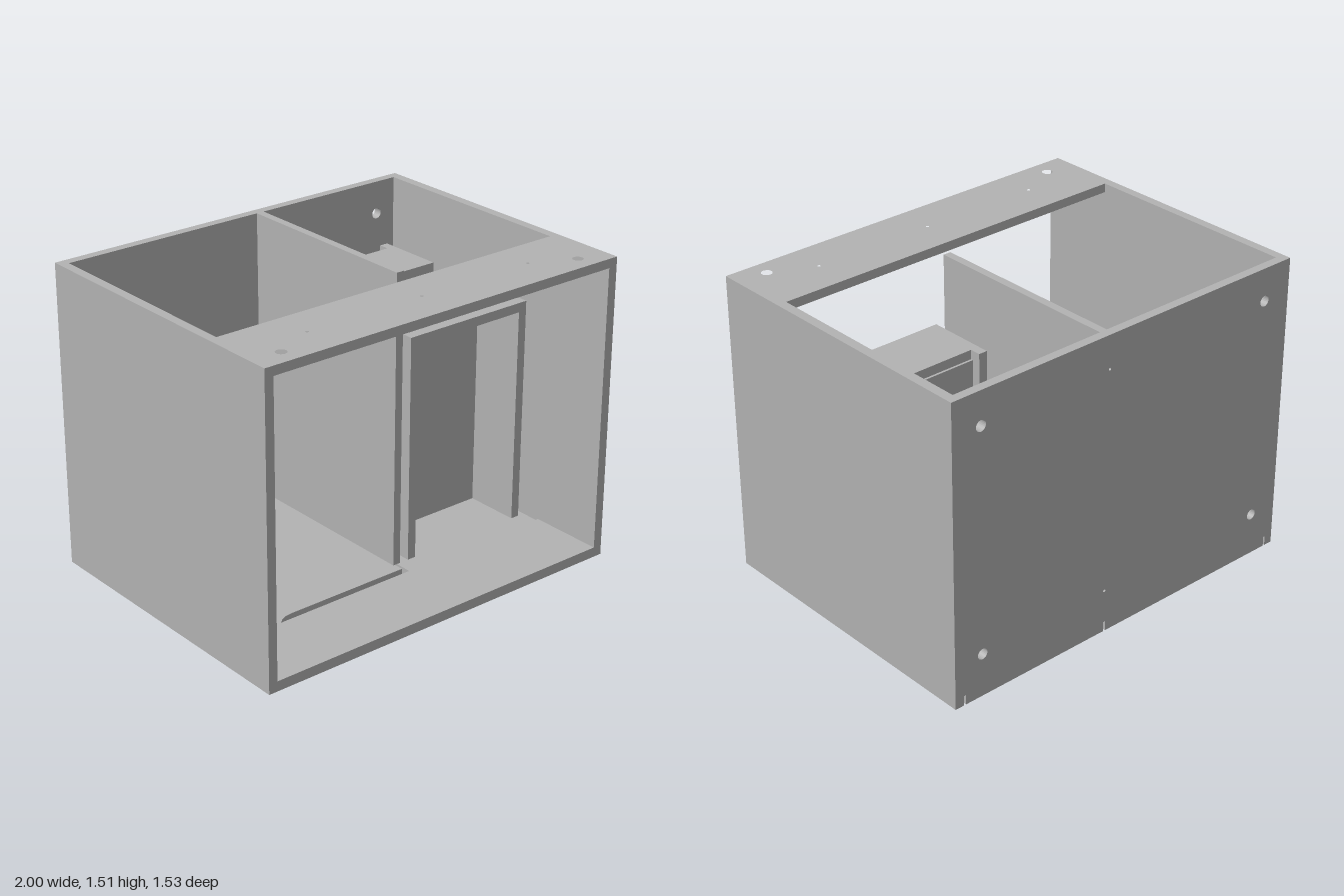
import * as THREE from 'three';

const board = new THREE.MeshStandardMaterial({ color: 0xb2b2b2 });
board.name = 'grey board';

const D = 0.767, H = 1.515, T = 0.045;

// Extruded panel: 2D outline points, round holes [u, v, radius], thickness
function panelGeometry(points, holes, depth) {
  const shape = new THREE.Shape(points.map(([u, v]) => new THREE.Vector2(u, v)));
  for (const [u, v, r] of holes) {
    const hole = new THREE.Path();
    hole.absarc(u, v, r, 0, Math.PI * 2, true);
    shape.holes.push(hole);
  }
  return new THREE.ExtrudeGeometry(shape, { depth, bevelEnabled: false, curveSegments: 12 });
}

const rect = (a, b, c, d) => [[a, b], [c, b], [c, d], [a, d]];

export function createModel() {
  const root = new THREE.Group();
  root.name = 'cabinet';

  const add = (name, geometry, parent = root) => {
    const mesh = new THREE.Mesh(geometry, board);
    mesh.name = name;
    parent.add(mesh);
    return mesh;
  };
  const box = (name, x0, x1, y0, y1, z0, z1, parent) =>
    add(name, new THREE.BoxGeometry(x1 - x0, y1 - y0, z1 - z0)
      .translate((x0 + x1) / 2, (y0 + y1) / 2, (z0 + z1) / 2), parent);
  // Horizontal panel, outline and holes in (x, z)
  const flat = (name, y0, y1, points, holes = [], parent) =>
    add(name, panelGeometry(points.map(([x, z]) => [x, -z]), holes.map(([x, z, r]) => [x, -z, r]), y1 - y0)
      .rotateX(-Math.PI / 2).translate(0, y0, 0), parent);
  // Upright panel facing sideways, outline and holes in (z, y)
  const side = (name, x0, x1, points, holes = [], parent) =>
    add(name, panelGeometry(points.map(([z, y]) => [-z, y]), holes.map(([z, y, r]) => [-z, y, r]), x1 - x0)
      .rotateY(Math.PI / 2).translate(x0, 0, 0), parent);

  // Outer walls; the left one has shallow pin holes on its inner face
  box('rightWall', 0.953, 1, 0, H, -D, D);
  box('leftWallOuter', -1, -0.98, 0, H, -D, D);
  const pins = [-0.53, 0.185].flatMap(z => [[z - 0.053, 0.166, 0.007], [z + 0.053, 0.166, 0.007]]);
  side('leftWallInner', -0.98, -0.955, rect(-D, 0, D, H), pins);

  // Back wall with bolt holes and small notches at the floor gaps
  const backOutline = [[-0.955, 0]];
  for (const [a, b] of [[-0.955, -0.945], [0.11, 0.122], [0.941, 0.953]])
    backOutline.push([a, 0], [a, 0.05], [b, 0.05], [b, 0]);
  backOutline.shift();
  backOutline.push([0.953, 0], [0.953, H], [-0.955, H]);
  const backHoles = [0.22, 1.35].flatMap(y => [[-0.844, y, 0.027], [0.844, y, 0.027], [0.12, y, 0.007]]);
  add('backWall', panelGeometry(backOutline.filter((p, i, a) =>
    !i || p[0] !== a[i - 1][0] || p[1] !== a[i - 1][1]), backHoles, T).translate(0, 0, -D));

  // Front rails, drilled through on top and part way below
  const railOutline = rect(-0.955, 0.385, 0.953, D);
  const bolts = [[-0.844, 0.675, 0.026], [0.844, 0.675, 0.026]];
  flat('topRail', H - T, H, railOutline,
    [...bolts, ...[-0.63, 0, 0.63].map(x => [x, 0.575, 0.008])]);
  flat('bottomRailUpper', 0.015, 0.05, railOutline, bolts);
  flat('bottomRailLower', 0, 0.015, railOutline);

  // Left floor with a finger slot at the front edge and two round pockets
  const leftFloor = [[-0.945, -0.722], [0.11, -0.722], [0.11, 0.345], [-0.55, 0.345],
    [-0.585, 0.35], [-0.615, 0.364], [-0.64, 0.385], [-0.945, 0.385]];
  flat('leftFloorUpper', 0.015, 0.048, leftFloor, [[-0.875, -0.53, 0.057], [-0.875, 0.185, 0.057]]);
  flat('leftFloorLower', 0, 0.015, leftFloor);

  // Right floor in two pieces with a tapered slot between them
  flat('rightFloorBack', 0, 0.048, [[0.122, -0.722], [0.941, -0.722], [0.941, -0.183], [0.81, -0.183],
    [0.78, -0.19], [0.745, -0.21], [0.72, -0.218], [0.69, -0.221], [0.122, -0.221]]);
  flat('rightFloorFront', 0, 0.048, [[0.122, -0.129], [0.69, -0.129], [0.72, -0.132], [0.745, -0.14],
    [0.78, -0.16], [0.81, -0.167], [0.941, -0.167], [0.941, 0.385], [0.122, 0.385]]);

  // Inner divider and cross bar
  box('divider', 0.1, 0.14, 0.048, H, -0.722, 0.295);
  box('crossBar', 0.14, 0.953, 0.63, 0.945, -0.12, -0.075);

  // Two open-fronted inner housings, one behind the other
  for (const [name, z] of [['frontHousing', 0], ['backHousing', -0.655]]) {
    const housing = new THREE.Group();
    housing.name = name;
    housing.position.z = z;
    root.add(housing);
    const vents = [[0.1, 0.165, 0.02], [0.2, 0.165, 0.02]];
    for (const x of [0.19, 0.86])
      side('housingSide', x, x + T, rect(-0.055, 0.048, 0.295, 1.18), vents, housing);
    box('housingTop', 0.235, 0.86, 1.133, 1.18, 0, 0.295, housing);
    box('housingBack', 0.235, 0.86, 0.048, 1.133, -0.012, 0.013, housing);
    // Ears that join the housing to its neighbours
    for (const [a, b] of [[0.14, 0.19], [0.905, 0.953]])
      box('housingEar', a, b, 0.63, 0.945, -0.012, 0.013, housing);
  }

  return root;
}
